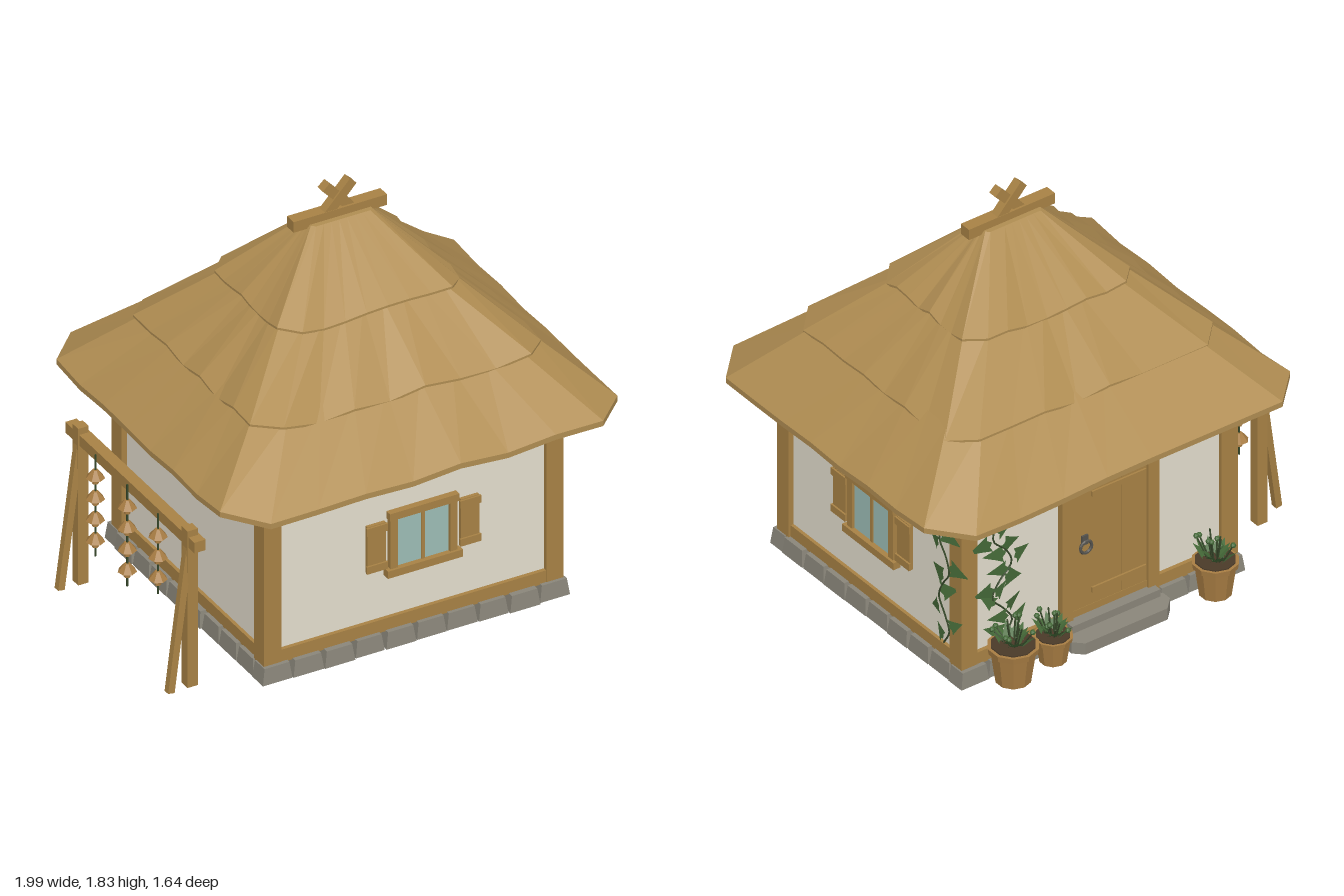
import * as THREE from 'three';

const mat = (name, color, extra = {}) => {
  const m = new THREE.MeshStandardMaterial({ color, flatShading: true, ...extra });
  m.name = name;
  return m;
};
const M = {
  thatch: mat('thatch', 0xb08d52),
  wood: mat('wood', 0xa88245),
  plaster: mat('plaster', 0xe4dece),
  stone: mat('stone', 0x8a867a),
  glass: mat('glass', 0x9dbdb6),
  iron: mat('iron', 0x55534e),
  leaf: mat('leaf', 0x466b39, { side: THREE.DoubleSide }),
  stem: mat('stem', 0x36472a),
  pot: mat('pot', 0xa87d43),
  soil: mat('soil', 0x4a3a28),
};
const CX = 0.08, CZ = 0.01; // house centre

// Seeded noise in -1..1
let seed = 7;
const rnd = () => {
  seed = (seed * 16807) % 2147483647;
  return (seed / 2147483647) * 2 - 1;
};

function add(parent, name, geo, m, x = 0, y = 0, z = 0) {
  const mesh = new THREE.Mesh(geo, m);
  mesh.name = name;
  mesh.position.set(x, y, z);
  parent.add(mesh);
  return mesh;
}
const box = (p, name, m, w, h, d, x, y, z) => add(p, name, new THREE.BoxGeometry(w, h, d), m, x, y, z);
function group(parent, name, x = 0, y = 0, z = 0) {
  const g = new THREE.Group();
  g.name = name;
  g.position.set(x, y, z);
  parent.add(g);
  return g;
}
// Square beam between two points
function beam(p, name, a, b, t, m = M.wood) {
  const A = new THREE.Vector3(...a), B = new THREE.Vector3(...b);
  const mesh = box(p, name, m, t, A.distanceTo(B), t, 0, 0, 0);
  mesh.position.copy(A).lerp(B, 0.5);
  mesh.quaternion.setFromUnitVectors(new THREE.Vector3(0, 1, 0), B.sub(A).normalize());
  return mesh;
}

// Ring of points round a chamfered rectangle, with a ragged height
function ring(hx, hz, c, y, n, rough, wave) {
  const corners = [[hx, -hz + c], [hx, hz - c], [hx - c, hz], [-hx + c, hz],
    [-hx, hz - c], [-hx, -hz + c], [-hx + c, -hz], [hx - c, -hz]];
  const pts = [];
  corners.forEach((a, i) => {
    const b = corners[(i + 1) % 8], steps = i % 2 ? 1 : n;
    for (let k = 0; k < steps; k++) {
      const t = k / steps;
      pts.push([CX + a[0] + (b[0] - a[0]) * t, y + rough * wave[pts.length], a[1] + (b[1] - a[1]) * t]);
    }
  });
  return pts;
}
// One thatch tier: underside, ragged rim, slope
function thatchTier(parent, name, lo, hi, cap) {
  const n = 7, wave = Array.from({ length: 4 * n + 4 }, rnd);
  const rings = [
    ring(lo.x - lo.in, lo.z - lo.in, lo.c * 0.7, lo.y + lo.up, n, 0, wave),
    ring(lo.x, lo.z, lo.c, lo.y, n, lo.rough, wave),
    ring(lo.x, lo.z, lo.c, lo.y + lo.rim, n, lo.rough, wave),
    ring(hi.x, hi.z, hi.c, hi.y, n, 0, wave),
  ];
  const N = wave.length, pos = rings.flat(2), idx = [];
  for (let r = 0; r < 3; r++) {
    for (let i = 0; i < N; i++) {
      const a = r * N + i, b = r * N + ((i + 1) % N);
      idx.push(a, a + N, b, b, a + N, b + N);
    }
  }
  if (cap) for (let i = 1; i < N - 1; i++) idx.push(3 * N, 3 * N + i + 1, 3 * N + i);
  const g = new THREE.BufferGeometry();
  g.setAttribute('position', new THREE.Float32BufferAttribute(pos, 3));
  g.setIndex(idx);
  const flat = g.toNonIndexed();
  flat.computeVertexNormals();
  add(parent, name, flat, M.thatch);
}

// Window with shutters, facing +z
function makeWindow(parent, x, y, z, turn) {
  const w = group(parent, 'window', x, y, z);
  w.rotation.y = turn;
  box(w, 'windowGlass', M.glass, 0.24, 0.23, 0.008, 0, 0, 0.008);
  for (const s of [-1, 1]) {
    box(w, 'windowJamb', M.wood, 0.034, 0.24, 0.04, s * 0.137, 0, 0.005);
    box(w, 'shutter', M.wood, 0.085, 0.22, 0.016, s * 0.215, 0, 0.01);
    for (const b of [-1, 1]) box(w, 'shutterBar', M.wood, 0.096, 0.034, 0.01, s * 0.215, b * 0.09, 0.021);
  }
  box(w, 'windowMullion', M.wood, 0.016, 0.23, 0.02, 0, 0, 0.008);
  box(w, 'windowLintel', M.wood, 0.32, 0.034, 0.05, 0, 0.132, 0.005);
  box(w, 'windowSill', M.wood, 0.345, 0.034, 0.06, 0, -0.132, 0.006);
}

// Pointed leaf, lying in the xy plane
const leafShape = new THREE.Shape([[0, 0], [0.02, 0.016], [0.046, 0.01], [0.026, 0.05], [0, 0.11],
  [-0.026, 0.05], [-0.046, 0.01], [-0.02, 0.016]].map((p) => new THREE.Vector2(...p)));
const leafGeo = new THREE.ShapeGeometry(leafShape);

// Climbing vine on a wall facing +z of its group
function vine(parent, x, z, turn, leaves, sway) {
  const g = group(parent, 'vine', x, 0, z);
  g.rotation.y = turn;
  const pts = [];
  for (let i = 0; i <= 10; i++) pts.push(new THREE.Vector3(sway * Math.sin(i * 1.5), 0.17 + i * 0.07, 0.012));
  const curve = new THREE.CatmullRomCurve3(pts);
  add(g, 'vineStem', new THREE.TubeGeometry(curve, 40, 0.004, 5), M.stem);
  for (let i = 0; i < leaves; i++) {
    const s = i % 2 ? 1 : -1, p = curve.getPoint(0.03 + (i * 0.95) / leaves);
    const l = add(g, 'vineLeaf', leafGeo, M.leaf, p.x + s * 0.01, p.y, 0.018);
    l.rotation.set(0.15 * rnd(), 0.25 * s, -s * (1.5 + 0.6 * rnd()), 'YXZ');
    l.scale.setScalar(0.88 + 0.15 * rnd());
  }
}

// Stave pot with a bushy plant
function plantPot(parent, x, z, r, h) {
  const g = group(parent, 'plantPot', x, 0.02, z);
  add(g, 'potBody', new THREE.CylinderGeometry(r * 0.95, r * 0.72, h, 10), M.pot, 0, h / 2, 0);
  add(g, 'potRim', new THREE.CylinderGeometry(r * 1.04, r, h * 0.16, 10), M.pot, 0, h * 0.92, 0);
  add(g, 'potSoil', new THREE.CylinderGeometry(r * 0.9, r * 0.9, 0.006, 10), M.soil, 0, h + 0.002, 0);
  for (let i = 0; i < 14; i++) {
    const a = i * 2.4, d = r * (0.2 + 0.5 * ((i % 4) / 3)), top = h + 0.08 + 0.04 * rnd();
    const end = [Math.cos(a) * d * 1.2, top, Math.sin(a) * d * 1.2];
    beam(g, 'plantStem', [Math.cos(a) * d * 0.5, h, Math.sin(a) * d * 0.5], end, 0.005, M.stem);
    if (i % 2) add(g, 'plantBud', new THREE.IcosahedronGeometry(0.013, 0), M.leaf, ...end);
    const l = add(g, 'plantLeaf', leafGeo, M.leaf, Math.cos(a) * d * 0.6, h + 0.01, Math.sin(a) * d * 0.6);
    l.rotation.set(0.8, Math.PI / 2 - a, 0, 'YXZ');
    l.scale.setScalar(0.7);
  }
}

export function createModel() {
  const root = new THREE.Group();
  root.name = 'thatchedCottage';

  // Walls and timber frame
  const house = group(root, 'house');
  box(house, 'walls', M.plaster, 1.33, 0.79, 1.2, CX, 0.485, CZ);
  box(house, 'floor', M.wood, 1.3, 0.06, 1.16, CX, 0.05, CZ);
  box(house, 'floorSlab', M.stone, 0.95, 0.02, 1.14, 0.225, 0.02, CZ);
  for (const sx of [-1, 1]) {
    for (const sz of [-1, 1]) box(house, 'cornerPost', M.wood, 0.08, 0.81, 0.08, CX + sx * 0.65, 0.475, CZ + sz * 0.58);
    for (const [n, h, y] of [['sillBeam', 0.06, 0.1], ['topBeam', 0.04, 0.862]]) {
      box(house, n, M.wood, 0.06, h, 1.2, CX + sx * 0.65, y, CZ);
      box(house, n, M.wood, 1.34, h, 0.06, CX, y, CZ + sx * 0.588);
    }
  }

  // Foundation stones, narrower at the top
  const foundation = group(root, 'foundation');
  const stone = (w, d, x, z) => {
    const s = new THREE.BoxGeometry(w, 0.075, d), p = s.attributes.position;
    for (let i = 0; i < p.count; i++) {
      if (p.getY(i) > 0) p.setXYZ(i, p.getX(i) * 0.84, p.getY(i), p.getZ(i) * 0.86);
    }
    add(foundation, 'foundationStone', s, M.stone, x, 0.0375, z);
  };
  for (const s of [-1, 1]) {
    for (let i = 0; i < 10; i++) stone(0.137 + 0.005 * rnd(), 0.09, CX - 0.639 + i * 0.142, CZ + s * (0.6 + 0.006 * rnd()));
    for (let i = 1; i < 9; i++) stone(0.09, 0.135 + 0.005 * rnd(), CX + s * (0.663 + 0.006 * rnd()), CZ - 0.63 + i * 0.14);
  }

  // Thatched roof in three tiers, the upper rims sunk into the tier below
  const roof = group(root, 'roof', 0, 0, 0.005);
  thatchTier(roof, 'lowerThatch', { x: 0.915, z: 0.815, c: 0.15, y: 0.862, in: 0.28, up: 0.01, rim: 0.025, rough: 0.012 },
    { x: 0.63, z: 0.535, c: 0.1, y: 1.155 });
  thatchTier(roof, 'middleThatch', { x: 0.67, z: 0.575, c: 0.1, y: 1.119, in: 0.06, up: 0.03, rim: 0.01, rough: 0.016 },
    { x: 0.38, z: 0.29, c: 0.07, y: 1.41 });
  thatchTier(roof, 'upperThatch', { x: 0.42, z: 0.33, c: 0.075, y: 1.374, in: 0.06, up: 0.03, rim: 0.01, rough: 0.014 },
    { x: 0.14, z: 0.05, c: 0.015, y: 1.67 }, true);
  box(roof, 'ridgeBeam', M.wood, 0.43, 0.05, 0.054, CX, 1.68, 0);
  for (const s of [-1, 1]) {
    beam(roof, 'ridgeCross', [CX - s * 0.065, 1.68, s * 0.004], [CX + s * 0.06, 1.815, s * 0.004], 0.042);
  }

  // Windows on the front and on one side
  makeWindow(house, 0.125, 0.475, CZ + 0.6, 0);
  makeWindow(house, CX + 0.665, 0.472, 0.005, Math.PI / 2);

  // Door at the back, built facing +z
  const door = group(root, 'door', 0.03, 0, CZ - 0.6);
  door.rotation.y = Math.PI;
  for (const s of [-1, 1]) box(door, 'doorJamb', M.wood, 0.055, 0.74, 0.05, s * 0.215, 0.44, 0.005);
  box(door, 'doorLintel', M.wood, 0.5, 0.055, 0.06, 0, 0.805, 0.003);
  for (let i = -1; i <= 1; i++) box(door, 'doorPlank', M.wood, 0.124, 0.7, 0.025, i * 0.126, 0.43, 0.004);
  for (const y of [0.2, 0.67]) box(door, 'doorStrap', M.wood, 0.27, 0.025, 0.01, 0.045, y, 0.02);
  box(door, 'handlePlate', M.iron, 0.03, 0.045, 0.01, -0.125, 0.46, 0.02);
  add(door, 'handleRing', new THREE.TorusGeometry(0.028, 0.007, 6, 14), M.iron, -0.125, 0.43, 0.03);
  box(door, 'doorSill', M.stone, 0.44, 0.035, 0.08, 0, 0.08, 0.025);
  const stepShape = new THREE.Shape([[-0.25, 0], [-0.25, -0.1], [-0.21, -0.14], [0.2, -0.14], [0.25, -0.09], [0.25, 0]]
    .map((p) => new THREE.Vector2(...p)));
  const stepGeo = new THREE.ExtrudeGeometry(stepShape, { depth: 0.055, bevelEnabled: false }).rotateX(-Math.PI / 2);
  add(door, 'doorStep', stepGeo, M.stone, 0, 0, 0);

  // Pots and vines
  const garden = group(root, 'garden');
  plantPot(garden, 0.59, -0.715, 0.104, 0.17);
  plantPot(garden, 0.38, -0.7, 0.08, 0.12);
  plantPot(garden, -0.42, -0.715, 0.095, 0.16);
  vine(garden, CX + 0.695, -0.515, Math.PI / 2, 9, 0.035);
  vine(garden, 0.58, CZ - 0.625, Math.PI, 17, 0.05);

  // Rack with hanging bells
  const rack = group(root, 'rack');
  for (const [z, lean] of [[-0.4, 0.03], [0.49, 0.035]]) {
    box(rack, 'rackPost', M.wood, 0.048, 0.74, 0.048, -0.872, 0.37, z);
    beam(rack, 'rackBrace', [-0.985, 0.015, z + lean], [-0.88, 0.66, z], 0.03);
  }
  box(rack, 'rackBeam', M.wood, 0.052, 0.05, 1.05, -0.865, 0.685, 0.035);
  [[-0.23, 4], [0.03, 4], [0.28, 3]].forEach(([z, n]) => {
    beam(rack, 'bellCord', [-0.9, 0.7, z], [-0.9, 0.62 - n * 0.1, z], 0.006, M.stem);
    for (let i = 0; i < n; i++) {
      add(rack, 'bell', new THREE.CylinderGeometry(0.012, 0.04, 0.036, 7), M.pot, -0.9, 0.61 - i * 0.1, z);
      add(rack, 'bellClapper', new THREE.CylinderGeometry(0.014, 0.014, 0.03, 6), M.pot, -0.9, 0.58 - i * 0.1, z);
    }
  });
  return root;
}
